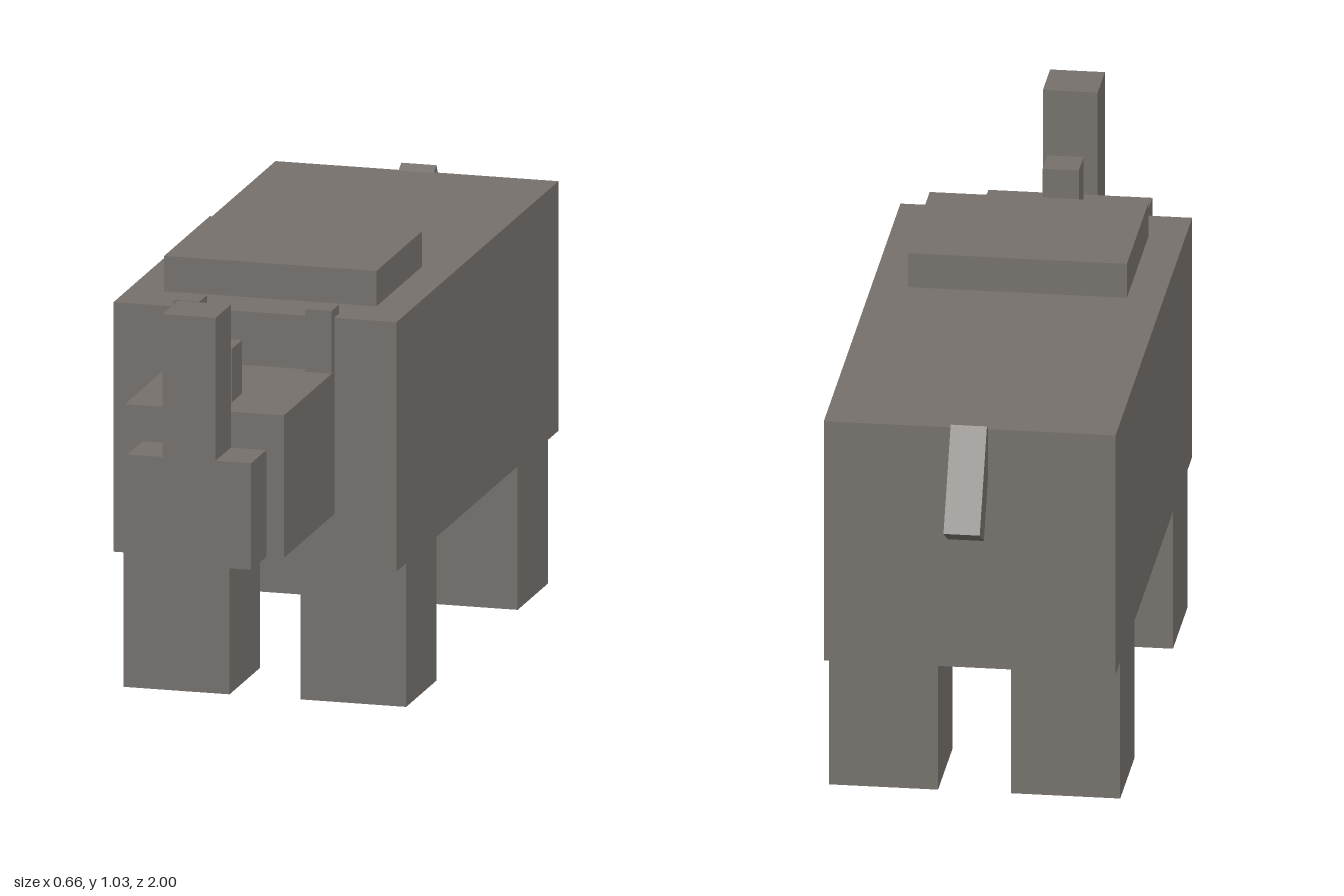
import * as THREE from 'three';

export function createModel() {
  const model = new THREE.Group();
  const hide = new THREE.MeshStandardMaterial({ color: 0x75706c });
  hide.name = 'grey hide';

  // Box given by its centre x, width, and the ranges it spans in y and z
  function box(name, x, width, [y0, y1], [z0, z1]) {
    const mesh = new THREE.Mesh(new THREE.BoxGeometry(width, y1 - y0, z1 - z0), hide);
    mesh.position.set(x, (y0 + y1) / 2, (z0 + z1) / 2);
    mesh.name = name;
    model.add(mesh);
    return mesh;
  }

  // Body and shoulder hump
  box('body', 0, 0.66, [0.333, 0.911], [-0.86, 0.462]);
  box('hump', 0, 0.495, [0.911, 0.993], [-0.035, 0.337]);

  // Head, snout and the two horns
  box('head', 0, 0.371, [0.457, 0.787], [0.462, 0.876]);
  box('snout', 0, 0.289, [0.457, 0.704], [0.876, 1]);
  box('frontHorn', 0, 0.124, [0.704, 1.035], [0.876, 1]);
  box('rearHorn', 0, 0.082, [0.787, 0.911], [0.711, 0.793]);

  // Mirrored ears and legs
  for (const [side, s] of [['left', 1], ['right', -1]]) {
    box(side + 'Ear', s * 0.154, 0.062, [0.787, 0.932], [0.422, 0.484]);
    box(side + 'FrontLeg', s * 0.206, 0.247, [0, 0.333], [0.134, 0.381]);
    box(side + 'BackLeg', s * 0.206, 0.247, [0, 0.333], [-0.776, -0.529]);
  }

  // Tail tilted away from the rump
  const tail = box('tail', 0, 0.082, [0.672, 0.92], [-0.943, -0.861]);
  tail.rotation.x = Math.PI / 6;

  return model;
}
